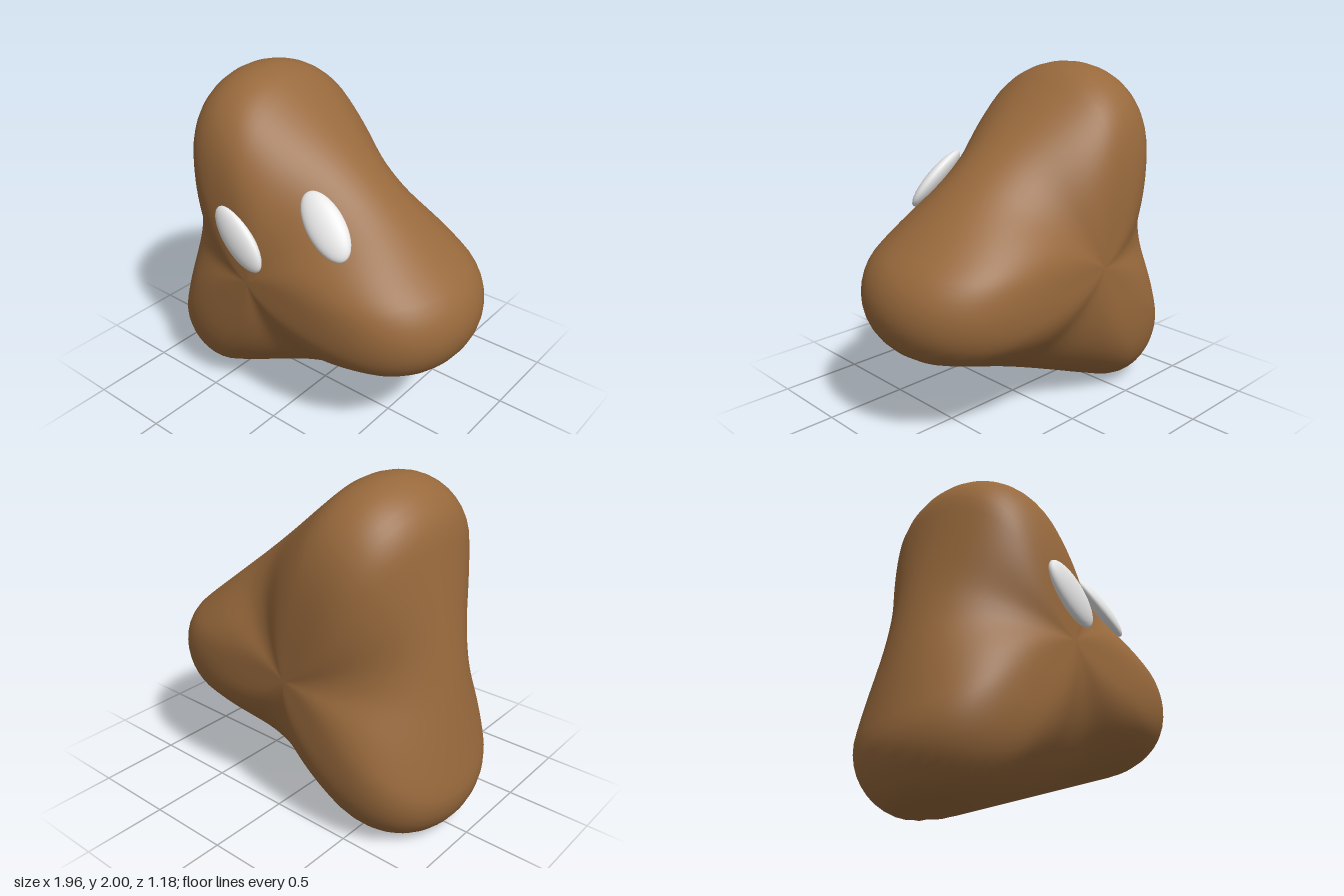
import * as THREE from 'three';
import { mergeVertices } from 'three/addons/utils/BufferGeometryUtils.js';

const brown = new THREE.MeshStandardMaterial({ color: 0x98693c });
brown.name = 'brown';
const white = new THREE.MeshStandardMaterial({ color: 0xe8e8e8 });
white.name = 'white';

const CENTER = new THREE.Vector3(-0.145, 0.92, -0.03);
const LOBE = 0.8, RADIUS = 0.335, DEPTH = 0.56; // lobe distance, lobe rounding, half depth
const FIRST = THREE.MathUtils.degToRad(-9);
const THIRD = (Math.PI * 2) / 3;

// Outline of the rounded triangle at an angle d away from its nearest corner
function outline(d) {
  const tangent = Math.atan2(RADIUS * Math.sin(Math.PI / 3), LOBE + RADIUS / 2);
  if (d > tangent) return (LOBE / 2 + RADIUS) / Math.cos(Math.PI / 3 - d);
  const across = LOBE * Math.sin(d);
  return LOBE * Math.cos(d) + Math.sqrt(RADIUS * RADIUS - across * across);
}

// Sphere reshaped into three full lobes with softer valleys between them
function bodyGeometry() {
  let geo = new THREE.SphereGeometry(1, 120, 64);
  geo.rotateX(Math.PI / 2);
  geo.deleteAttribute('uv');
  geo.deleteAttribute('normal');
  geo = mergeVertices(geo, 1e-5);
  const pos = geo.attributes.position;
  for (let i = 0; i < pos.count; i++) {
    const x = pos.getX(i), y = pos.getY(i), z = pos.getZ(i);
    const s = Math.min(1, Math.hypot(x, y));
    const theta = Math.atan2(y, x);
    const turn = (theta - FIRST) / THIRD;
    const d = Math.abs(turn - Math.round(turn)) * THIRD;
    const lobe = Math.pow((Math.cos(3 * d) + 1) / 2, 1.2);
    const power = 1.9 + 2.7 * lobe;
    const r = s * outline(d);
    const h = Math.abs(z) < 1e-6 ? 0 : Math.sign(z) * DEPTH * Math.sqrt(Math.max(0, 1 - Math.pow(s, power)));
    pos.setXYZ(
      i,
      CENTER.x + r * Math.cos(theta),
      Math.max(0, CENTER.y + r * Math.sin(theta)), // flat resting patch
      CENTER.z + h
    );
  }
  geo.computeVertexNormals();
  return geo;
}

// Flattened oval eye: long axis and outward direction set its tilt
function makeEye(name, position, long, out) {
  const mesh = new THREE.Mesh(new THREE.SphereGeometry(1, 32, 20), white);
  mesh.name = name;
  const a = new THREE.Vector3(...long).normalize();
  const b = new THREE.Vector3(...out).cross(a).normalize();
  const n = new THREE.Vector3().crossVectors(a, b);
  mesh.quaternion.setFromRotationMatrix(new THREE.Matrix4().makeBasis(a, b, n));
  mesh.scale.set(0.212, 0.105, 0.05);
  mesh.position.set(...position);
  return mesh;
}

export function createModel() {
  const group = new THREE.Group();
  group.name = 'roundedTriangleCreature';
  const body = new THREE.Mesh(bodyGeometry(), brown);
  body.name = 'body';
  group.add(body);
  group.add(makeEye('rightEye', [-0.18, 1.19, 0.535], [0.7, -0.71, 0.02], [0.03, 0.05, 1]));
  group.add(makeEye('leftEye', [0.285, 1.35, 0.345], [0.72, -0.67, 0.15], [0.37, 0.52, 0.77]));
  return group;
}
